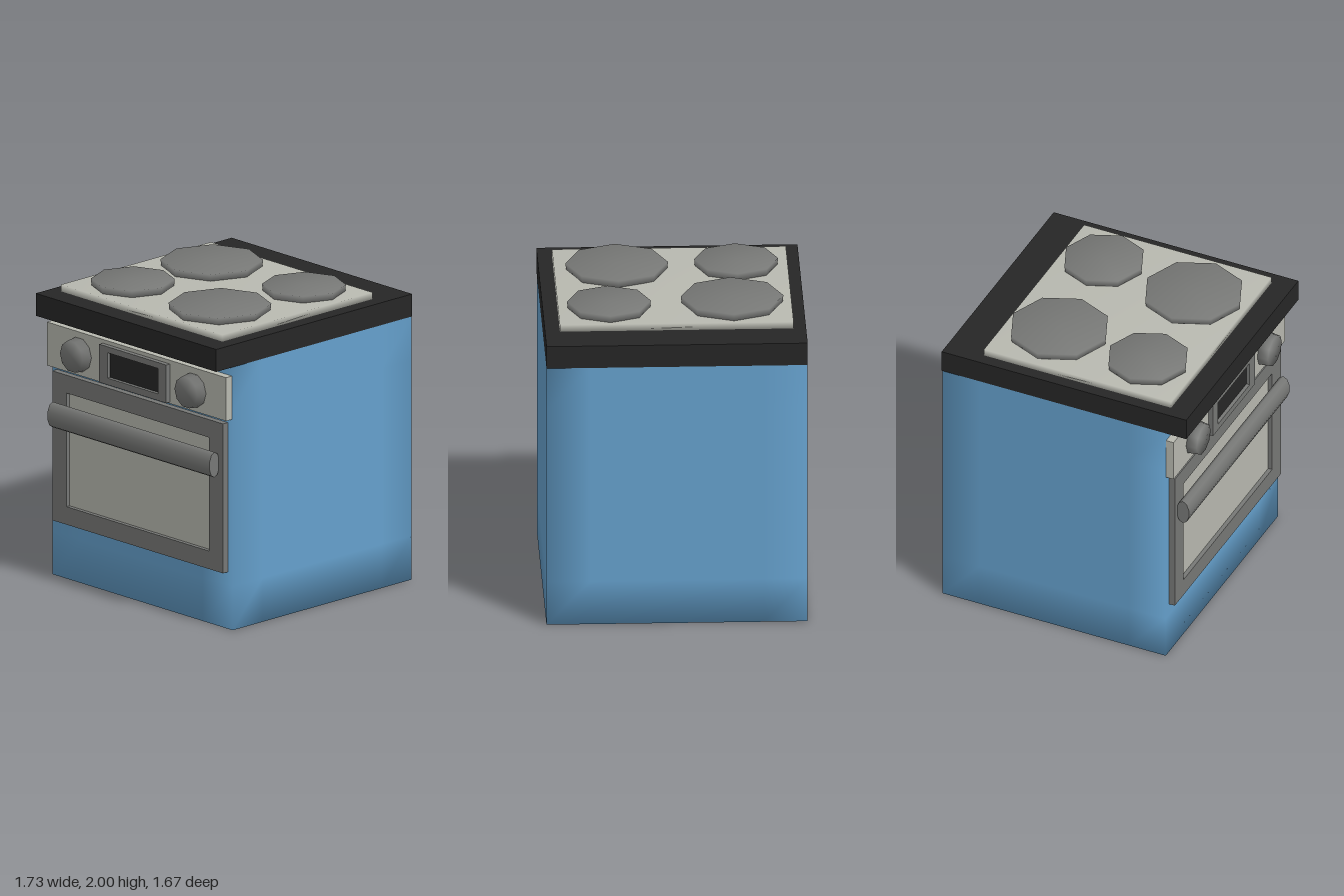
import * as THREE from 'three';
import { mergeVertices } from 'three/addons/utils/BufferGeometryUtils.js';

const makeMaterial = (name, color) => {
  const m = new THREE.MeshStandardMaterial({ color });
  m.name = name;
  return m;
};

// Weld shared corners so the shading runs softly over the edges
function soften(geometry) {
  geometry.deleteAttribute('uv');
  geometry.deleteAttribute('normal');
  const g = mergeVertices(geometry, 1e-4);
  g.computeVertexNormals();
  return g;
}

// Box given by its minimum and maximum corners
function boxBetween(x0, x1, y0, y1, z0, z1, segments = 1) {
  const g = new THREE.BoxGeometry(x1 - x0, y1 - y0, z1 - z0, segments, segments, segments);
  return g.translate((x0 + x1) / 2, (y0 + y1) / 2, (z0 + z1) / 2);
}

// Rectangular frame facing -x, with its back at the given x
function frame(halfW, y0, y1, innerHalfW, iy0, iy1, backX, depth) {
  const shape = new THREE.Shape([
    new THREE.Vector2(-halfW, y0), new THREE.Vector2(halfW, y0),
    new THREE.Vector2(halfW, y1), new THREE.Vector2(-halfW, y1),
  ]);
  shape.holes.push(new THREE.Path([
    new THREE.Vector2(-innerHalfW, iy0), new THREE.Vector2(-innerHalfW, iy1),
    new THREE.Vector2(innerHalfW, iy1), new THREE.Vector2(innerHalfW, iy0),
  ]));
  const g = new THREE.ExtrudeGeometry(shape, { depth, bevelEnabled: false });
  return g.rotateY(-Math.PI / 2).translate(backX, 0, 0);
}

export function createModel() {
  const model = new THREE.Group();
  model.name = 'stove';
  const blue = makeMaterial('blue enamel', 0x65a0cc);
  const black = makeMaterial('black worktop', 0x262626);
  const steel = makeMaterial('light steel', 0xb8b9b0);
  const grey = makeMaterial('dark grey metal', 0x777876);

  const add = (name, geometry, material) => {
    const mesh = new THREE.Mesh(geometry, material);
    mesh.name = name;
    model.add(mesh);
    return mesh;
  };

  // Cabinet, softly shaded at the bottom and the upright edges
  const cabinet = soften(boxBetween(-0.72, 0.86, 0, 1.76, -0.835, 0.835, 6));
  const pos = cabinet.attributes.position, nor = cabinet.attributes.normal;
  const n = new THREE.Vector3();
  for (let i = 0; i < pos.count; i++) {
    n.fromBufferAttribute(nor, i);
    if (pos.getY(i) > 1.75 && Math.hypot(n.x, n.z) > 0.1) {
      n.setY(0).normalize();
      nor.setXYZ(i, n.x, n.y, n.z);
    }
  }
  add('cabinet', cabinet, blue);

  // Worktop and hob plate
  add('worktop', boxBetween(-0.865, 0.865, 1.76, 1.91, -0.835, 0.835), black);
  add('hobPlate', soften(boxBetween(-0.72, 0.605, 1.9, 1.955, -0.755, 0.74)), steel);

  // Four eight-sided burners: x, z, radius
  const burners = [[-0.4, -0.425, 0.268], [0.25, -0.375, 0.328], [-0.36, 0.34, 0.328], [0.31, 0.415, 0.268]];
  for (const [x, z, r] of burners) {
    const g = soften(new THREE.CylinderGeometry(r, r * 0.98, 0.06, 8));
    add('burner', g.translate(x, 1.97, z), grey);
  }

  // Control panel with a framed display
  add('controlPanel', boxBetween(-0.773, -0.72, 1.41, 1.7, -0.83, 0.83), steel);
  add('displayFrame', frame(0.31, 1.42, 1.675, 0.235, 1.465, 1.635, -0.77, 0.036), grey);
  add('display', boxBetween(-0.782, -0.773, 1.46, 1.64, -0.24, 0.24), black);

  // Knobs on both sides of the display
  for (const side of [-1, 1]) {
    const g = soften(new THREE.CylinderGeometry(0.105, 0.115, 0.08, 10));
    add('knob', g.rotateZ(Math.PI / 2).translate(-0.803, 1.55, side * 0.53), grey);
  }

  // Oven door: frame, recessed window and handle
  add('doorFrame', frame(0.79, 0.38, 1.38, 0.66, 0.5, 1.26, -0.72, 0.043), grey);
  add('doorWindow', boxBetween(-0.735, -0.726, 0.49, 1.27, -0.67, 0.67), steel);
  const handle = new THREE.CylinderGeometry(0.085, 0.085, 1.5, 10);
  handle.rotateX(Math.PI / 2).scale(0.53, 1, 1).translate(-0.8, 1.105, 0);
  add('doorHandle', handle, grey);

  return model;
}
